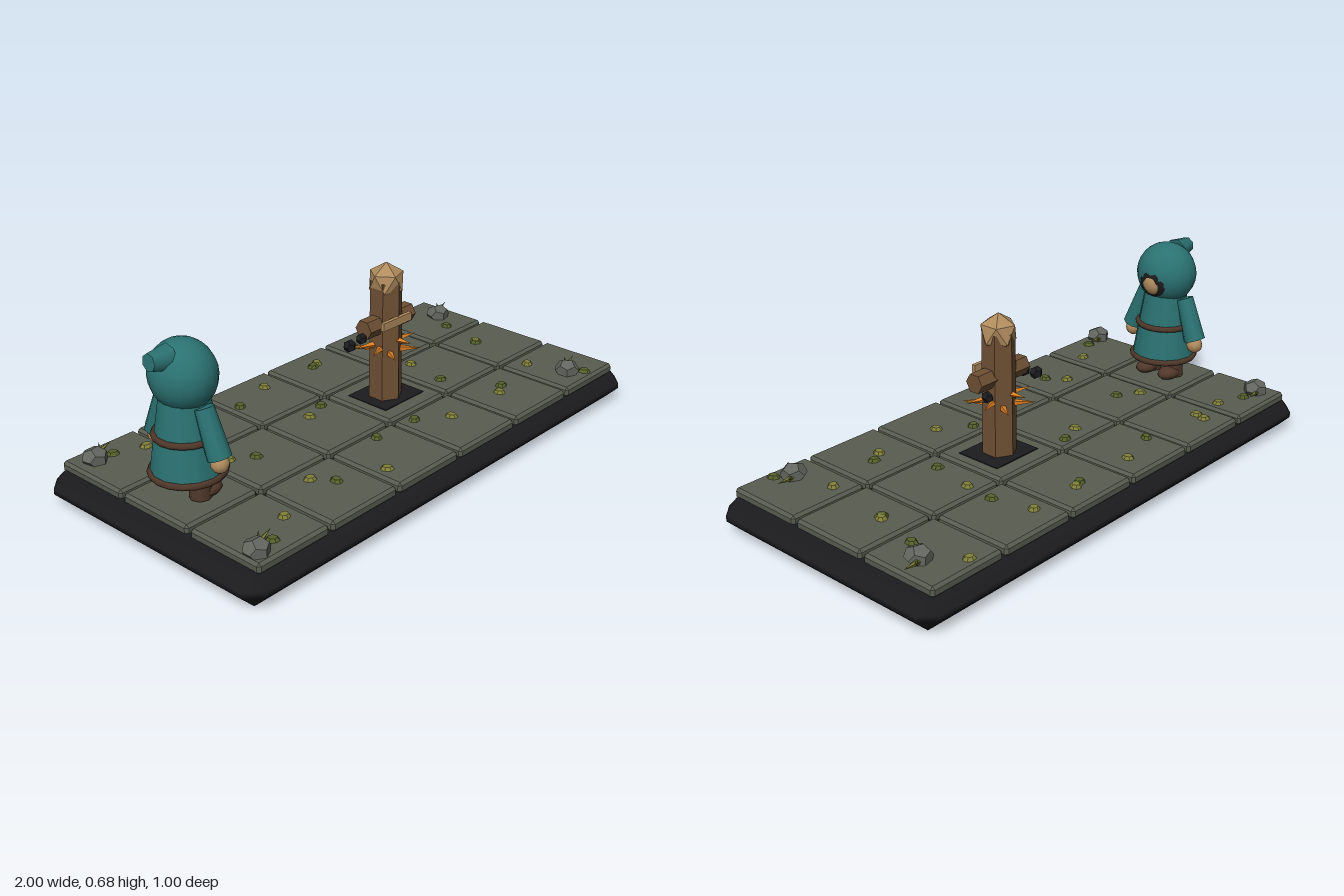
import * as THREE from 'three';
import { mergeVertices } from 'three/addons/utils/BufferGeometryUtils.js';
import { ConvexGeometry } from 'three/addons/geometries/ConvexGeometry.js';

const mat = (name, color, flatShading = false) => {
  const m = new THREE.MeshStandardMaterial({ color, flatShading });
  m.name = name;
  return m;
};

export function createModel() {
  const black = mat('black', 0x1c1c1f);
  const stone = mat('stone tile', 0x585c50);
  const mossLight = mat('light moss', 0x80803a, true);
  const mossDark = mat('dark moss', 0x55622a, true);
  const rock = mat('rock', 0x62665f, true);
  const wood = mat('wood', 0x6e5034, true);
  const paleWood = mat('pale wood and skin', 0xb08c5e);
  const leather = mat('leather', 0x50382a);
  const orange = mat('orange', 0xdd7f22, true);
  const teal = mat('teal cloth', 0x2b7272);

  const model = new THREE.Group();
  const group = (name, x = 0, y = 0, z = 0) => {
    const g = new THREE.Group();
    g.name = name;
    g.position.set(x, y, z);
    model.add(g);
    return g;
  };
  const add = (parent, name, geometry, material, x = 0, y = 0, z = 0) => {
    const mesh = new THREE.Mesh(geometry, material);
    mesh.name = name;
    mesh.position.set(x, y, z);
    parent.add(mesh);
    return mesh;
  };
  // Box with every edge cut at 45 degrees
  const chamferBox = (w, h, d, c, smooth) => {
    const points = [];
    for (const sx of [-1, 1]) for (const sy of [-1, 1]) for (const sz of [-1, 1]) {
      for (const [a, b, e] of [[c, c, 0], [c, 0, c], [0, c, c]]) {
        points.push(new THREE.Vector3(sx * (w / 2 - a), sy * (h / 2 - b), sz * (d / 2 - e)));
      }
    }
    const g = new ConvexGeometry(points);
    if (!smooth) return g;
    g.deleteAttribute('normal');
    const merged = mergeVertices(g, 1e-4);
    merged.computeVertexNormals();
    return merged;
  };
  // Tapered rod running from a to b
  const rod = (parent, name, material, a, b, ra, rb, sides) => {
    const from = new THREE.Vector3(...a), to = new THREE.Vector3(...b);
    const dir = to.clone().sub(from);
    const mesh = add(parent, name, new THREE.CylinderGeometry(rb, ra, dir.length(), sides), material);
    mesh.position.copy(from).add(to).multiplyScalar(0.5);
    mesh.quaternion.setFromUnitVectors(new THREE.Vector3(0, 1, 0), dir.normalize());
    return mesh;
  };

  // Plinth and paving
  add(model, 'plinth', chamferBox(2, 0.12, 1, 0.05, true), black, 0, 0.06, 0);
  const paving = group('paving');
  const tile = chamferBox(0.304, 0.04, 0.304, 0.01, false);
  for (let i = 0; i < 6; i++) for (let j = 0; j < 3; j++) {
    add(paving, 'tile', tile, stone, (i - 2.5) * 0.317, 0.128, (j - 1) * 0.317);
  }

  // Moss clumps as x, z pairs
  const moss = group('moss');
  const lightSpots = [-0.69, -0.34, -0.54, -0.38, -0.55, -0.34, -0.1, -0.37, 0.18, -0.37, 0.39, -0.37,
    0.75, -0.43, -0.57, -0.06, -0.16, -0.08, 0.42, -0.1, 0.76, -0.05, -0.7, 0.33, -0.48, 0.23,
    -0.26, 0.37, 0.18, 0.29, 0.45, 0.3, 0.72, 0.23];
  const darkSpots = [-0.07, -0.11, 0.75, -0.04, -0.49, -0.01, -0.43, 0.3, -0.12, 0.2, 0.07, 0.21,
    0.5, 0.27, 0.39, 0.07, 0.43, -0.22, 0.8, -0.23, -0.27, -0.32, 0.15, -0.36, -0.8, -0.38,
    -0.82, 0.4, 0.81, 0.43];
  const clump = new THREE.CylinderGeometry(0.016, 0.025, 0.012, 7);
  for (const [spots, material] of [[lightSpots, mossLight], [darkSpots, mossDark]]) {
    for (let i = 0; i < spots.length; i += 2) {
      const m = add(moss, 'mossClump', clump, material, spots[i], 0.153, spots[i + 1]);
      m.rotation.y = i * 1.3;
      m.scale.z = 0.85;
    }
  }

  // Rocks with grass blades
  const rocks = group('rocks');
  for (const [x, z] of [[-0.87, -0.385], [0.855, -0.32], [-0.9, 0.415], [0.76, 0.385]]) {
    const r = add(rocks, 'rock', new THREE.DodecahedronGeometry(0.047), rock, x, 0.162, z);
    r.scale.y = 0.8;
    r.rotation.y = x * 7;
    rod(rocks, 'grassBlade', mossLight, [x + 0.02, 0.158, z - 0.02], [x + 0.1, 0.172, z - 0.04], 0.012, 0, 5);
    rod(rocks, 'grassBlade', mossDark, [x + 0.02, 0.155, z - 0.01], [x + 0.06, 0.175, z - 0.055], 0.012, 0, 5);
  }

  // Hooded figure facing +x
  const figure = group('hoodedFigure', -0.795, 0, 0);
  add(figure, 'robe', new THREE.CylinderGeometry(0.08, 0.122, 0.27, 14), teal, 0, 0.365, 0);
  for (const [name, r, tube, y] of [['hem', 0.12, 0.012, 0.233], ['belt', 0.103, 0.011, 0.365]]) {
    const ring = new THREE.TorusGeometry(r, tube, 6, 18).rotateX(Math.PI / 2);
    add(figure, name, ring, leather, 0, y, 0);
  }
  add(figure, 'hood', new THREE.SphereGeometry(0.118, 18, 14), teal, 0, 0.565, 0).scale.x = 0.91;
  rod(figure, 'hoodTail', teal, [-0.055, 0.64, 0], [-0.13, 0.645, 0], 0.045, 0.03, 7);
  add(figure, 'hoodOpening', new THREE.SphereGeometry(0.066, 16, 10), black, 0.073, 0.552, 0).scale.x = 0.55;
  add(figure, 'face', new THREE.SphereGeometry(0.044, 14, 10), paleWood, 0.082, 0.54, 0).scale.x = 0.75;
  for (const s of [-1, 1]) {
    rod(figure, 'sleeve', teal, [0, 0.48, s * 0.09], [0.003, 0.323, s * 0.148], 0.033, 0.041, 10);
    add(figure, 'hand', new THREE.SphereGeometry(0.031, 10, 8), paleWood, 0.003, 0.303, s * 0.148);
    add(figure, 'leg', new THREE.CylinderGeometry(0.034, 0.038, 0.09, 8), leather, 0, 0.197, s * 0.053);
    const boot = add(figure, 'boot', new THREE.SphereGeometry(0.04, 10, 8), leather, 0.03, 0.17, s * 0.053);
    boot.scale.set(1.4, 0.65, 0.95);
  }

  // Training post
  const post = group('post', 0.155, 0, 0);
  add(post, 'socket', new THREE.BoxGeometry(0.21, 0.01, 0.18), black, 0.005, 0.146, 0);
  add(post, 'shaft', new THREE.CylinderGeometry(0.06, 0.063, 0.46, 6), wood, 0, 0.37, 0);
  const cap = new THREE.IcosahedronGeometry(0.069).rotateZ(Math.atan(2 / (1 + Math.sqrt(5))));
  add(post, 'cap', cap, paleWood, 0, 0.596, 0);
  rod(post, 'crossbar', wood, [-0.12, 0.442, 0], [0.122, 0.442, 0], 0.037, 0.037, 6);
  add(post, 'lashing', new THREE.BoxGeometry(0.15, 0.03, 0.014), paleWood, -0.015, 0.46, 0.062);

  // Dark studs and flying shots
  const shots = [[-0.175, 0.395, -0.015, 0.024], [-0.13, 0.412, 0, 0.021], [0.055, 0.373, 0, 0.023]];
  for (const [x, y, z, r] of shots) {
    add(post, 'shot', new THREE.DodecahedronGeometry(r), black, x, y, z);
  }

  // Ring of sparks
  for (let i = 0; i < 10; i++) {
    const a = (i + 0.4) * Math.PI / 5;
    const y = [0.36, 0.335, 0.38, 0.335, 0.355][i % 5];
    const r = 0.115 + 0.02 * Math.abs(Math.cos(a));
    rod(post, 'spark', orange, [Math.cos(a) * 0.045, y, Math.sin(a) * 0.045],
      [Math.cos(a) * r, y + 0.003, Math.sin(a) * r], 0.014, 0, 4);
  }
  return model;
}
